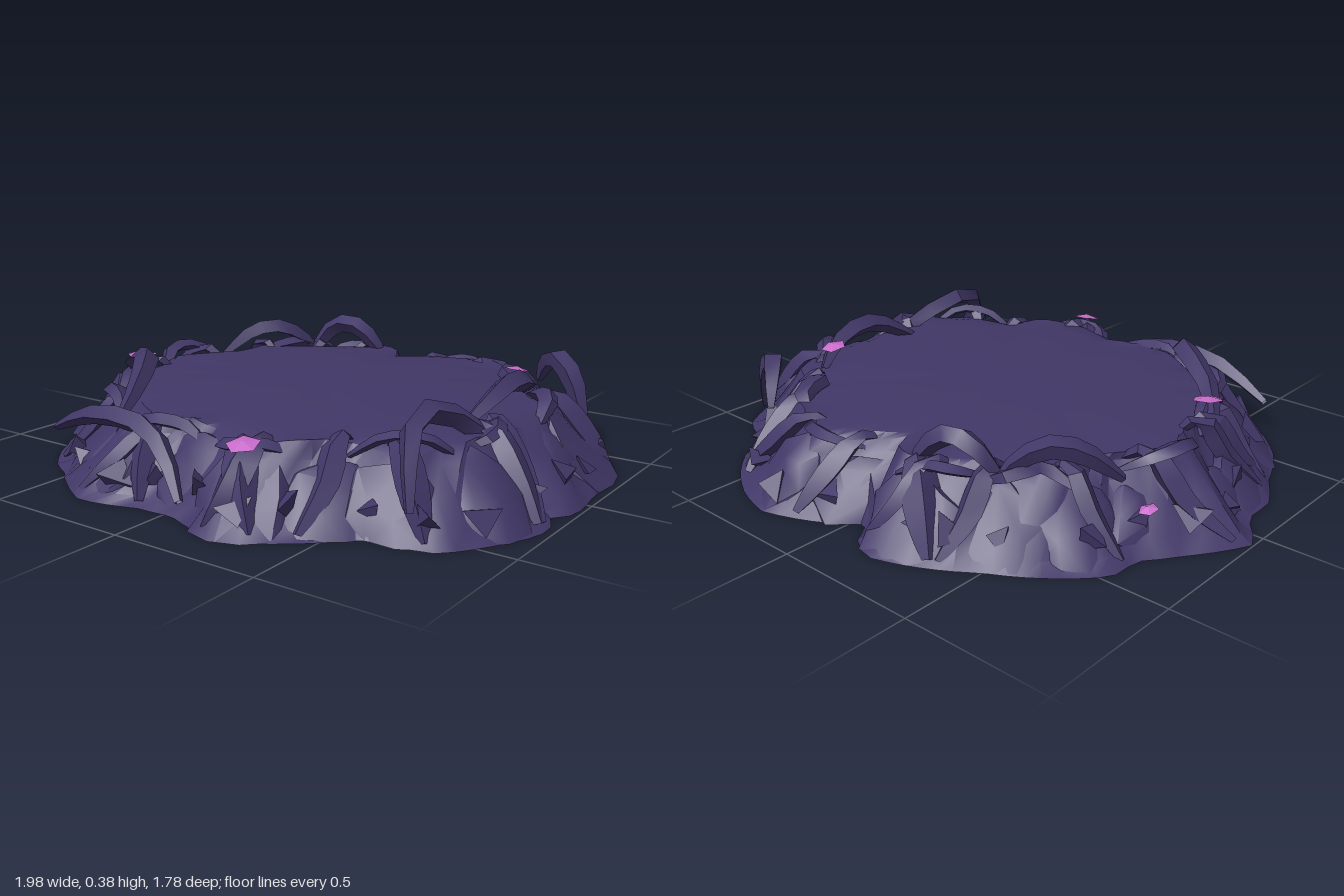
import * as THREE from 'three';
import { mergeVertices, toCreasedNormals } from 'three/addons/utils/BufferGeometryUtils.js';

// ground outline as x, z pairs
const OUTLINE = [
  0.99, 0.1, 0.93, 0.18, 0.98, 0.24, 0.97, 0.32, 0.81, 0.59, 0.58, 0.63, 0.41, 0.79, 0.26, 0.88, 0.17, 0.85,
  0.03, 0.8, -0.1, 0.81, -0.3, 0.86, -0.53, 0.71, -0.62, 0.66, -0.73, 0.54, -0.82, 0.35, -0.9, 0.21, -0.9, 0.08,
  -1, -0.05, -0.88, -0.24, -0.79, -0.36, -0.79, -0.47, -0.5, -0.7, -0.18, -0.86, -0.08, -0.8, -0.05, -0.72,
  0.05, -0.8, 0.27, -0.89, 0.41, -0.85, 0.53, -0.78, 0.64, -0.68, 0.68, -0.56, 0.84, -0.51, 0.95, -0.32, 0.97, -0.08,
];
const TAU = Math.PI * 2;
const polar = [];
for (let i = 0; i < OUTLINE.length; i += 2) {
  const x = OUTLINE[i], z = OUTLINE[i + 1];
  polar.push([(Math.atan2(z, x) + TAU) % TAU, Math.hypot(x, z)]);
}
polar.sort((a, b) => a[0] - b[0]);

// outline radius at an angle (0 = +x, quarter turn = +z)
function edge(angle) {
  const a = ((angle % TAU) + TAU) % TAU;
  const n = polar.length;
  let i = polar.findIndex((p) => p[0] > a);
  if (i < 0) i = n;
  const [a0, r0] = i === 0 ? [polar[n - 1][0] - TAU, polar[n - 1][1]] : polar[i - 1];
  const [a1, r1] = i === n ? [polar[0][0] + TAU, polar[0][1]] : polar[i];
  return r0 + ((r1 - r0) * (a - a0)) / (a1 - a0);
}

let seed = 11;
function rand(lo = 0, hi = 1) {
  seed = (seed * 16807) % 2147483647;
  return lo + ((hi - lo) * seed) / 2147483647;
}
const at = (a, r, y) => new THREE.Vector3(Math.cos(a) * r, y, Math.sin(a) * r);
const crest = (a) => 0.225 + 0.045 * Math.abs(Math.cos(a));
// radius of the sloping flank at a height, gentler towards -x
const flank = (a, y) => edge(a) * (1 - y * (1.05 - 0.15 * Math.cos(a)));

// mound: flat base, sloping flank, then a gently domed top
function moundGeometry() {
  const slope = [0, 0.035, 0.11, 0.18, 0.225];
  const top = [[0.71, 0.234], [0.6, 0.243], [0.35, 0.254], [0, 0.257]];
  const rings = 1 + slope.length + top.length;
  const N = 108, pos = [], index = [];
  for (let j = 0; j < rings; j++) {
    for (let i = 0; i < N; i++) {
      const a = (i / N) * TAU;
      const s = j - 1, onSlope = s > 0 && s < slope.length;
      const fold = onSlope ? 0.025 * Math.sin(a * 13 + j * 0.9) + 0.015 * Math.sin(a * 29 + j * 2) : 0;
      const lift = onSlope ? 0.014 * Math.sin(a * 9 + j) : 0;
      const [r, y] = j === 0 ? [0, 0] : s < slope.length
        ? [flank(a, slope[s]), slope[s]]
        : [edge(a) * top[s - slope.length][0], top[s - slope.length][1]];
      const p = at(a, r - Math.abs(fold) * 0.8, y + lift);
      pos.push(p.x, p.y, p.z);
      if (j === 0) continue;
      const k = (i + 1) % N, lo = (j - 1) * N, hi = j * N;
      if (j > 1) index.push(lo + i, hi + i, lo + k);
      index.push(lo + k, hi + i, hi + k);
    }
  }
  const g = new THREE.BufferGeometry();
  g.setAttribute('position', new THREE.Float32BufferAttribute(pos, 3));
  g.setIndex(index);
  return toCreasedNormals(g, 0.6);
}

// crumpled boulder, kept above the ground and inside the sloping flank
function boulderGeometry(a, share, size, height) {
  let g = new THREE.IcosahedronGeometry(1, 1);
  g.deleteAttribute('normal');
  g.deleteAttribute('uv');
  g = mergeVertices(g);
  const p = g.attributes.position, c = at(a, edge(a) * share, 0), v = new THREE.Vector3();
  for (let i = 0; i < p.count; i++) {
    v.fromBufferAttribute(p, i).multiplyScalar(rand(0.85, 1.1));
    v.set(v.x * size, Math.max(0, v.y * height), v.z * size).add(c);
    const limit = flank(Math.atan2(v.z, v.x), v.y) * rand(0.99, 1.025);
    const k = Math.min(1, limit / Math.hypot(v.x, v.z));
    p.setXYZ(i, v.x * k, v.y, v.z * k);
  }
  return toCreasedNormals(g, 0.8);
}

// angular flattened root, tapering to both ends
function rootGeometry(points, radius, flatness = 0.55) {
  const curve = new THREE.CatmullRomCurve3(points);
  const steps = 7, sides = 4;
  const g = new THREE.TubeGeometry(curve, steps, radius, sides, false);
  const p = g.attributes.position, v = new THREE.Vector3();
  for (let i = 0; i <= steps; i++) {
    const c = curve.getPointAt(i / steps);
    const k = 0.35 + 0.65 * Math.sin((Math.PI * i) / steps);
    for (let s = 0; s <= sides; s++) {
      const n = i * (sides + 1) + s;
      v.fromBufferAttribute(p, n).sub(c).multiplyScalar(k);
      p.setXYZ(n, c.x + v.x, Math.max(0.002, c.y + v.y * flatness), c.z + v.z);
    }
  }
  return toCreasedNormals(g, 0.6);
}

export function createModel() {
  const group = new THREE.Group();
  const stone = new THREE.MeshStandardMaterial({ color: 0x413767, side: THREE.DoubleSide });
  stone.name = 'dusky purple';
  const bloom = new THREE.MeshStandardMaterial({ color: 0xc66bca, side: THREE.DoubleSide });
  bloom.name = 'orchid pink';
  const add = (name, geometry, material = stone) => {
    const mesh = new THREE.Mesh(geometry, material);
    mesh.name = name;
    group.add(mesh);
    return mesh;
  };

  add('mound', moundGeometry());

  // boulders bulging from the slope
  for (let i = 0; i < 20; i++) {
    const a = ((i + rand(-0.25, 0.25)) / 20) * TAU;
    const low = Math.cos(a) < -0.93;
    add('boulder', boulderGeometry(a, rand(0.78, 0.85), rand(0.15, 0.19), low ? 0.15 : crest(a) * rand(0.75, 0.95)));
  }

  // broad roots draped from the rim to the ground
  for (let i = 0; i < 22; i++) {
    const a = ((i + rand(-0.4, 0.4)) / 22) * TAU;
    const d = rand(-0.28, 0.28);
    const mid = rand(0.11, 0.15);
    add('drapedRoot', rootGeometry([
      at(a, edge(a) * 0.7, 0.215),
      at(a + d * 0.3, edge(a + d * 0.3) * 0.76, crest(a) * rand(0.92, 1)),
      at(a + d * 0.6, flank(a + d * 0.6, mid), mid),
      at(a + d, edge(a + d) * 0.97, 0.015),
    ], rand(0.035, 0.06)));
  }

  // roots creeping along the rim
  for (let i = 0; i < 12; i++) {
    const a = (i / 12) * TAU + rand(-0.1, 0.1);
    add('rimRoot', rootGeometry([0, 0.13, 0.27, 0.4].map((d, j) =>
      at(a + d, edge(a + d) * rand(0.73, 0.8), j % 3 ? crest(a + d) * rand(0.9, 0.98) : 0.19)), rand(0.03, 0.045)));
  }

  // tall free-standing arches, as x, z, height
  const arches = [
    [[-0.7, 0.18, 0.22], [-0.58, 0.32, 0.29], [-0.42, 0.42, 0.35], [-0.34, 0.55, 0.29], [-0.32, 0.66, 0.2]],
    [[0.72, 0.6, 0.1], [0.68, 0.54, 0.24], [0.64, 0.44, 0.32], [0.65, 0.31, 0.31], [0.72, 0.19, 0.23], [0.88, 0.13, 0.05]],
    [[0.63, 0.14, 0.22], [0.67, 0, 0.3], [0.67, -0.1, 0.32], [0.66, -0.22, 0.29], [0.6, -0.34, 0.23]],
    [[0.52, -0.64, 0.2], [0.57, -0.59, 0.28], [0.64, -0.53, 0.31], [0.7, -0.51, 0.25], [0.76, -0.49, 0.1]],
    [[-0.68, -0.28, 0.2], [-0.6, -0.37, 0.29], [-0.53, -0.43, 0.31], [-0.46, -0.5, 0.27], [-0.42, -0.54, 0.21]],
    [[-0.42, -0.52, 0.2], [-0.34, -0.57, 0.31], [-0.26, -0.58, 0.32], [-0.19, -0.6, 0.27], [-0.14, -0.62, 0.19]],
    [[-0.62, 0.65, 0.13], [-0.42, 0.68, 0.21], [-0.2, 0.69, 0.22], [-0.05, 0.74, 0.17], [0.06, 0.8, 0.05]],
  ];
  for (const arch of arches) {
    add('archRoot', rootGeometry(arch.map((p) => new THREE.Vector3(p[0], p[2], p[1])), 0.042, 0.85));
  }

  // jagged flakes around the foot
  for (let i = 0; i < 30; i++) {
    const a = (i / 30) * TAU + rand(-0.06, 0.06);
    const y = rand(0.065, 0.1);
    const flake = add('flake', new THREE.TetrahedronGeometry(rand(0.05, 0.08)));
    flake.position.copy(at(a, flank(a, y), y));
    flake.rotation.set(rand(0, 3), rand(0, 3), rand(0, 3));
    flake.scale.y = 0.6;
  }

  // small five-sided blossoms, tipped outward
  const blossoms = [
    [0.24, 0.245, 0.72, 0.054], [0.59, 0.315, -0.3, 0.046], [-0.65, 0.295, 0.21, 0.054], [-0.81, 0.175, -0.34, 0.032],
  ];
  blossoms.forEach(([x, y, z, s], i) => {
    const blossom = add('blossom', toCreasedNormals(new THREE.ConeGeometry(s, 0.012, 5), 0.2), bloom);
    blossom.position.set(x, y, z);
    blossom.rotation.set(z * 0.3, i * 1.3, -x * 0.2);
  });
  return group;
}
